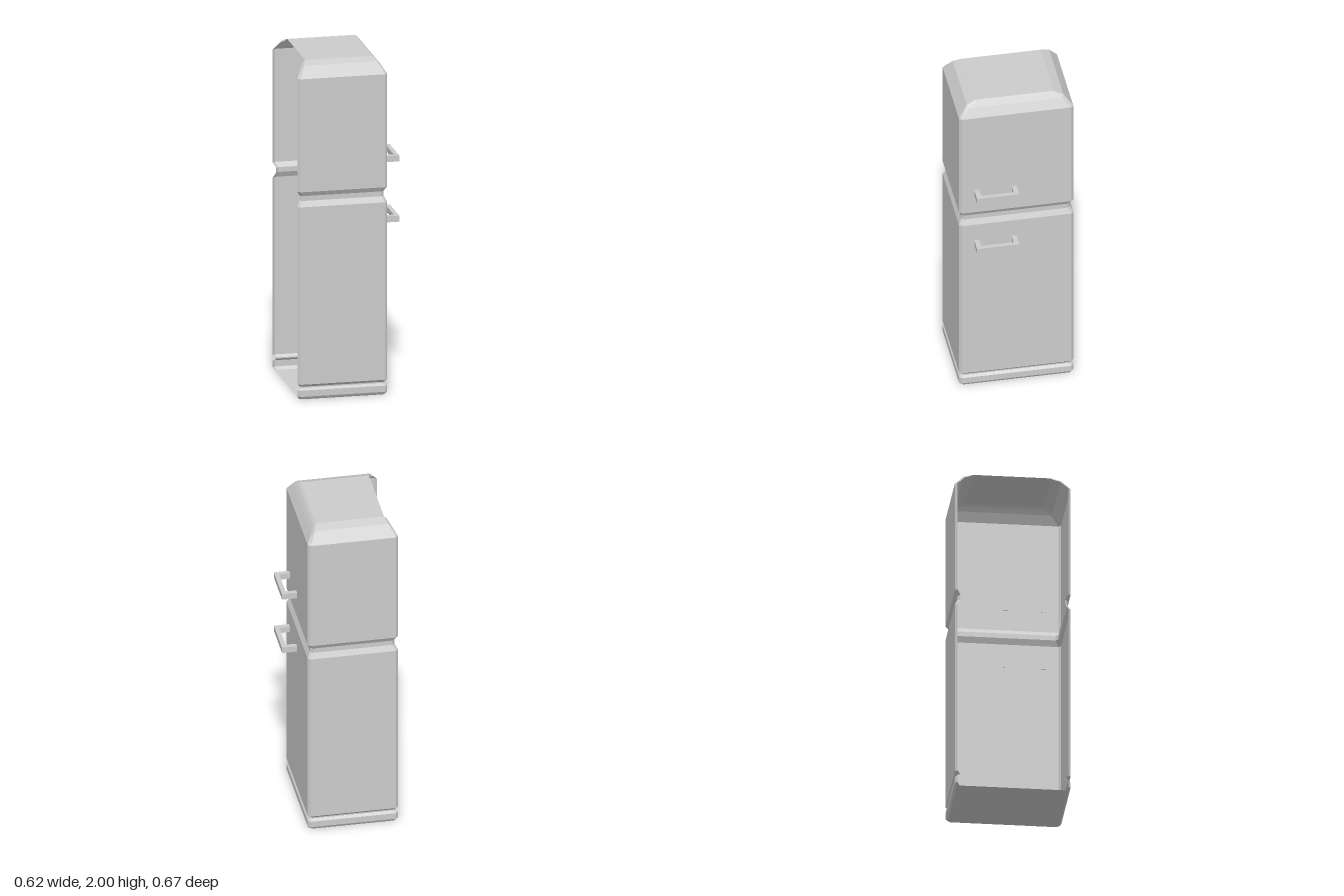
import * as THREE from 'three';

const material = new THREE.MeshStandardMaterial({ color: 0xcccccc, flatShading: true, side: THREE.DoubleSide });
const CX = -0.045; // centre of the cabinet in x; the door side faces +x and the back is open

// Chamfered open outline, from the back at -z round the door side to the back at +z.
// (x, z) is the side corner, (x2, z2) the corner on the door side; x is measured from CX.
function outline(x, z, y, x2, z2, y2) {
  const half = [[-x2, y2, -z2], [-x, y, -z], [x, y, -z], [x2, y2, -z2]];
  const mirrored = half.map(([a, b, c]) => [a, b, -c]).reverse();
  return [...half, ...mirrored].map(([a, b, c]) => [a + CX, b, c]);
}

function meshFromQuads(name, quads) {
  const pos = [];
  for (const [a, b, c, d] of quads) pos.push(...a, ...b, ...c, ...a, ...c, ...d);
  const geo = new THREE.BufferGeometry();
  geo.setAttribute('position', new THREE.Float32BufferAttribute(pos, 3));
  geo.computeVertexNormals();
  const mesh = new THREE.Mesh(geo, material);
  mesh.name = name;
  return mesh;
}

// Skin joining successive outlines from bottom to top
function skin(name, rings) {
  const quads = [];
  for (let j = 0; j < rings.length - 1; j++) {
    for (let i = 0; i < rings[j].length - 1; i++) {
      quads.push([rings[j][i], rings[j + 1][i], rings[j + 1][i + 1], rings[j][i + 1]]);
    }
  }
  return meshFromQuads(name, quads);
}

// Straight wall outline at height y, drawn in by an inset
const wall = ([y, inset]) =>
  outline(0.25 - inset, 0.335 - inset, y, 0.265 - inset, 0.32 - inset, y);

// C-shaped pull handle on the door side
function handle(name, y) {
  const shape = new THREE.Shape();
  [[0.215, 0], [0.308, 0], [0.308, 0.248], [0.215, 0.248], [0.215, 0.22], [0.282, 0.218], [0.282, 0.03], [0.215, 0.028]]
    .forEach(([x, z], i) => (i ? shape.lineTo(x, z) : shape.moveTo(x, z)));
  shape.closePath();
  const geo = new THREE.ExtrudeGeometry(shape, { depth: 0.036, bevelEnabled: false });
  geo.rotateX(Math.PI / 2); // shape y becomes z, thickness runs down from y
  const mesh = new THREE.Mesh(geo, material);
  mesh.position.y = y;
  mesh.name = name;
  return mesh;
}

export function createModel() {
  const group = new THREE.Group();
  group.name = 'fridge';

  // Plinth with rounded edge and the groove above it
  const plinth = [[0, 0.013], [0.005, 0.008], [0.018, 0], [0.055, 0], [0.068, 0.014], [0.075, 0.014], [0.09, 0]].map(wall);
  group.add(skin('plinth', plinth));

  // Lower door, groove between the doors, upper door
  group.add(skin('lowerCompartment', [[0.09, 0], [1.15, 0]].map(wall)));
  group.add(skin('doorGroove', [[1.15, 0], [1.183, 0.017], [1.212, 0.017], [1.24, 0]].map(wall)));
  group.add(skin('upperCompartment', [[1.24, 0], [1.915, 0]].map(wall)));

  // Sloping shoulders up to the flat top
  const crown = [
    wall([1.915, 0]),
    outline(0.216, 0.283, 1.98, 0.232, 0.275, 1.967),
    outline(0.2, 0.23, 2, 0.215, 0.23, 1.988),
  ];
  group.add(skin('shoulders', crown));

  // Top panel and its narrow bevel on the door side
  const t = crown[2];
  group.add(meshFromQuads('top', [[t[1], t[6], t[5], t[2]], [t[2], t[5], t[4], t[3]]]));

  // Floor
  const b = plinth[0];
  group.add(meshFromQuads('floor', [[b[0], b[3], b[4], b[7]], [b[1], b[2], b[3], b[0]], [b[7], b[4], b[5], b[6]]]));

  group.add(handle('upperHandle', 1.4), handle('lowerHandle', 1.04));
  return group;
}
